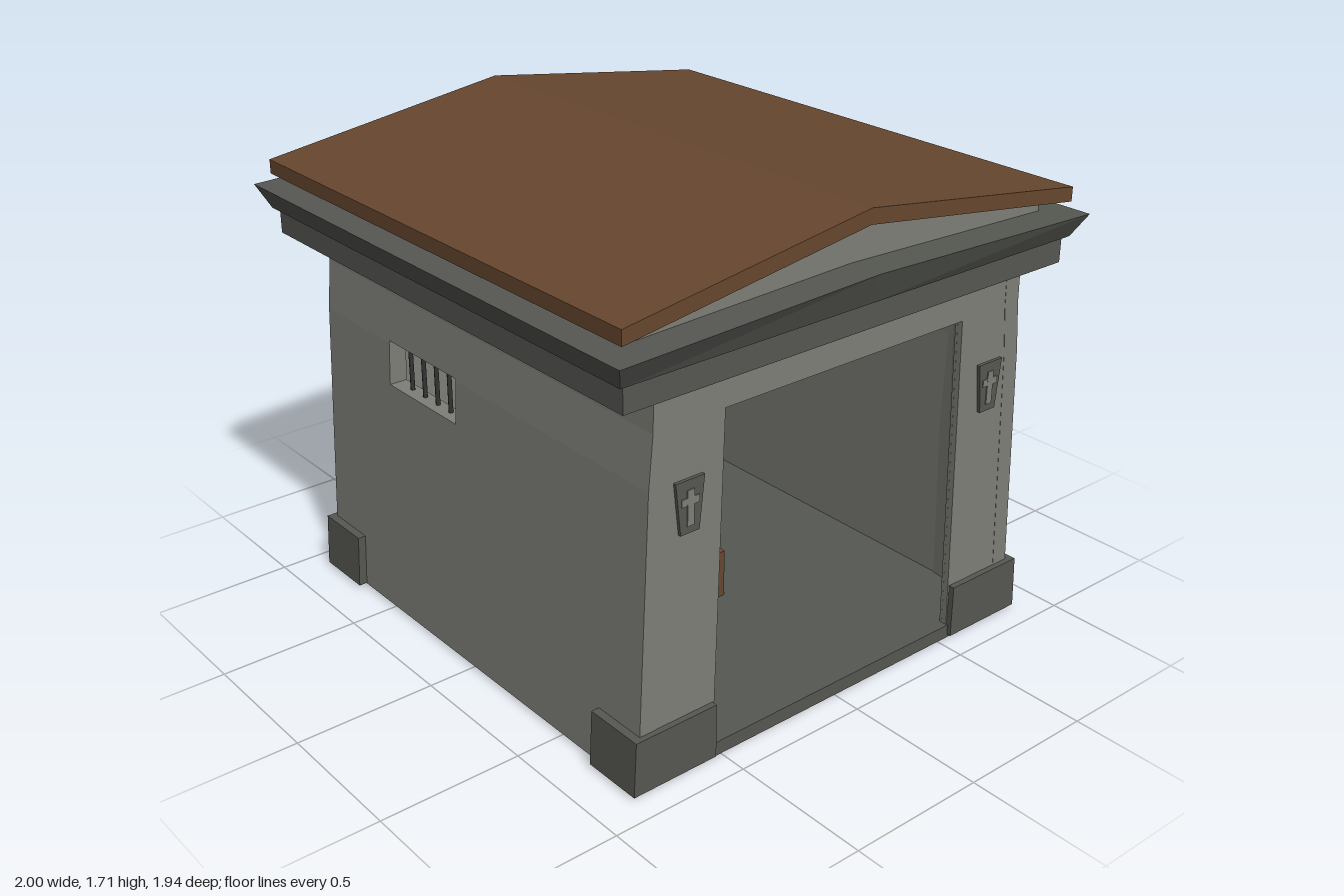
import * as THREE from 'three';

const mat = (name, color) => {
  const m = new THREE.MeshStandardMaterial({ color });
  m.name = name;
  return m;
};

export function createModel() {
  const stone = mat('light stone', 0x7f7f78);
  const trim = mat('dark stone', 0x565852);
  const wood = mat('brown wood', 0x67472f);
  const iron = mat('dark iron', 0x343432);

  const model = new THREE.Group();
  const body = new THREE.Group();
  body.name = 'body';
  body.position.z = -0.007;
  model.add(body);

  const add = (parent, name, geo, material) => {
    const m = new THREE.Mesh(geo, material);
    m.name = name;
    parent.add(m);
    return m;
  };
  const shapeOf = (pts) => new THREE.Shape(pts.map((p) => new THREE.Vector2(p[0], p[1])));
  // Outline in (z, y), running from x0 to x1
  const alongX = (pts, x0, x1) => new THREE.ExtrudeGeometry(shapeOf(pts), { depth: x1 - x0, bevelEnabled: false })
    .rotateY(-Math.PI / 2).translate(x1, 0, 0);
  // Plan in (x, z), running from y0 to y1
  const alongY = (pts, y0, y1) => new THREE.ExtrudeGeometry(shapeOf(pts), { depth: y1 - y0, bevelEnabled: false })
    .rotateX(Math.PI / 2).translate(0, y1, 0);
  const box = (x0, x1, y0, y1, z0, z1) => new THREE.BoxGeometry(x1 - x0, y1 - y0, z1 - z0)
    .translate((x0 + x1) / 2, (y0 + y1) / 2, (z0 + z1) / 2);

  // Leaning outer face of the long walls: [y, z]
  const profile = [[0.01, 0.838], [1.02, 0.792], [1.2, 0.775], [1.34, 0.772]];
  const wallZ = (y) => {
    for (let i = 1; i < profile.length; i++) {
      const [ya, za] = profile[i - 1], [yb, zb] = profile[i];
      if (y <= yb) return za + (zb - za) * (y - ya) / (yb - ya);
    }
    return profile[profile.length - 1][1];
  };
  const levels = (y0, y1) => [y0, ...profile.map((p) => p[0]).filter((y) => y > y0 && y < y1), y1];

  // Long walls, pieced around a barred window
  const win = { x0: -0.49, x1: -0.09, y0: 0.87, y1: 1.03 };
  const thick = 0.065;
  for (const s of [1, -1]) {
    const side = new THREE.Group();
    side.name = s > 0 ? 'frontWall' : 'backWall';
    body.add(side);
    const piece = (x0, x1, y0, y1) => {
      const ys = levels(y0, y1);
      const pts = ys.map((y) => [s * wallZ(y), y]);
      pts.push(...ys.reverse().map((y) => [s * (wallZ(y) - thick), y]));
      add(side, 'wallSection', alongX(pts, x0, x1), stone);
    };
    piece(-0.89, win.x0, 0.01, 1.34);
    piece(win.x1, 0.89, 0.01, 1.34);
    piece(win.x0, win.x1, 0.01, win.y0);
    piece(win.x0, win.x1, win.y1, 1.34);
    for (const x of [-0.408, -0.33, -0.253, -0.176]) {
      add(side, 'windowBar', new THREE.CylinderGeometry(0.008, 0.008, 0.18, 8)
        .translate(x, 0.95, s * (wallZ(0.95) - 0.035)), iron);
    }
  }

  // Closed end wall
  const ys = levels(0.01, 1.34);
  const edge = (s) => ys.map((y) => [s * (wallZ(y) - 0.001), y]);
  add(body, 'endWall', alongX([...edge(1), ...edge(-1).reverse()], -0.889, -0.83), stone);

  // Entrance wall with a tapering doorway
  const door = [[-0.505, 1.2], [-0.538, 0.01]];
  add(body, 'entranceWall', alongX([
    ...edge(1), ...edge(-1).reverse(), door[1], door[0],
    [-door[0][0], 1.2], [-door[1][0], 0.01],
  ], 0.86, 0.889), stone);

  // Rounded inner corners beside the doorway
  for (const s of [1, -1]) {
    const pts = [[0.62, s * 0.778], [0.87, s * 0.778], [0.87, s * 0.538]];
    for (let i = 0; i <= 8; i++) {
      const a = (i / 8) * Math.PI / 2;
      pts.push([0.62 + 0.245 * Math.cos(a), s * (0.538 + 0.232 * Math.sin(a))]);
    }
    const geo = alongY(pts, 0.04, 1.21);
    const p = geo.attributes.position;
    for (let i = 0; i < p.count; i++) p.setZ(i, p.getZ(i) * (1 - 0.052 * p.getY(i)));
    geo.computeVertexNormals();
    add(body, 'roundedCorner', geo, stone);
  }

  add(body, 'ceiling', box(-0.87, 0.87, 1.2, 1.33, -0.74, 0.74), stone);
  add(body, 'floor', box(-0.87, 0.895, 0, 0.05, -0.805, 0.805), trim);

  // L-shaped corner blocks with a slightly drawn-in top
  for (const sx of [1, -1]) for (const sz of [1, -1]) {
    const pts = [[0.91, 0.868], [0.69, 0.868], [0.69, 0.8], [0.87, 0.8], [0.87, 0.54], [0.91, 0.54]]
      .map(([x, z]) => [x * sx, z * sz]);
    const geo = alongY(pts, 0.012, 0.205);
    const p = geo.attributes.position;
    for (let i = 0; i < p.count; i++) {
      if (p.getY(i) > 0.1 && Math.abs(p.getZ(i)) > 0.85) p.setZ(i, sz * 0.858);
    }
    geo.computeVertexNormals();
    add(body, 'cornerBlock', geo, trim);
  }

  // Tapered plaques with a raised cross, either side of the doorway
  for (const z of [0.645, -0.65]) {
    const plaque = new THREE.Group();
    plaque.name = 'plaque';
    plaque.position.z = z;
    body.add(plaque);
    add(plaque, 'plaquePlate', alongX([[-0.055, 1.02], [0.055, 1.02], [0.036, 0.845], [-0.036, 0.845]], 0.885, 0.9), trim);
    add(plaque, 'crossUpright', box(0.899, 0.904, 0.87, 0.988, -0.013, 0.013), stone);
    add(plaque, 'crossArm', box(0.899, 0.9035, 0.938, 0.963, -0.034, 0.034), stone);
  }

  // Cornice: plain band, then a flared band with a gently pitched top
  add(model, 'corniceBand', box(-0.94, 0.94, 1.32, 1.415, -0.913, 0.913), trim);
  const flare = new THREE.BoxGeometry(2, 0.08, 1.94, 1, 1, 2);
  const fp = flare.attributes.position;
  for (let i = 0; i < fp.count; i++) {
    if (fp.getY(i) < 0) {
      fp.setX(i, fp.getX(i) * 0.955);
      fp.setZ(i, fp.getZ(i) * 0.962);
    } else if (Math.abs(fp.getZ(i)) < 0.01) fp.setY(i, 0.07);
  }
  const flareFlat = flare.toNonIndexed();
  flareFlat.computeVertexNormals();
  add(model, 'corniceFlare', flareFlat.translate(0, 1.45, 0), trim);

  // Gable and roof
  add(model, 'gable', alongX([[-0.857, 1.48], [0.857, 1.48], [0.857, 1.54], [0, 1.662], [-0.857, 1.54]], -0.88, 0.88), stone);
  add(model, 'roof', alongX([
    [-0.927, 1.53], [0, 1.66], [0.927, 1.53], [0.927, 1.58], [0, 1.712], [-0.927, 1.58],
  ], -0.955, 0.955), wood);

  // Coffin with a broken foot panel
  const coffin = new THREE.Group();
  coffin.name = 'coffin';
  model.add(coffin);
  add(coffin, 'coffinBox', alongY([
    [0.25, 0.08], [-0.25, 0.147], [-0.45, 0.09], [-0.45, -0.09], [-0.25, -0.147], [0.25, -0.08],
  ], 0.05, 0.23), wood);
  add(coffin, 'footCrack', alongX([
    [0.078, 0.22], [0.055, 0.22], [0.045, 0.14], [0.03, 0.12], [0.02, 0.155], [-0.01, 0.168],
    [-0.033, 0.15], [-0.02, 0.125], [0.008, 0.118], [0.015, 0.055], [0.04, 0.07], [0.062, 0.16],
  ], 0.25, 0.254), stone);

  // Urn by the wall
  const urn = [[0, 0.05], [0.042, 0.05], [0.046, 0.07], [0.07, 0.13], [0.066, 0.165], [0.04, 0.215], [0.044, 0.258], [0, 0.258]];
  add(model, 'urn', new THREE.LatheGeometry(urn.map((p) => new THREE.Vector2(p[0], p[1])), 12)
    .translate(-0.5, 0, 0.546), trim);

  return model;
}
